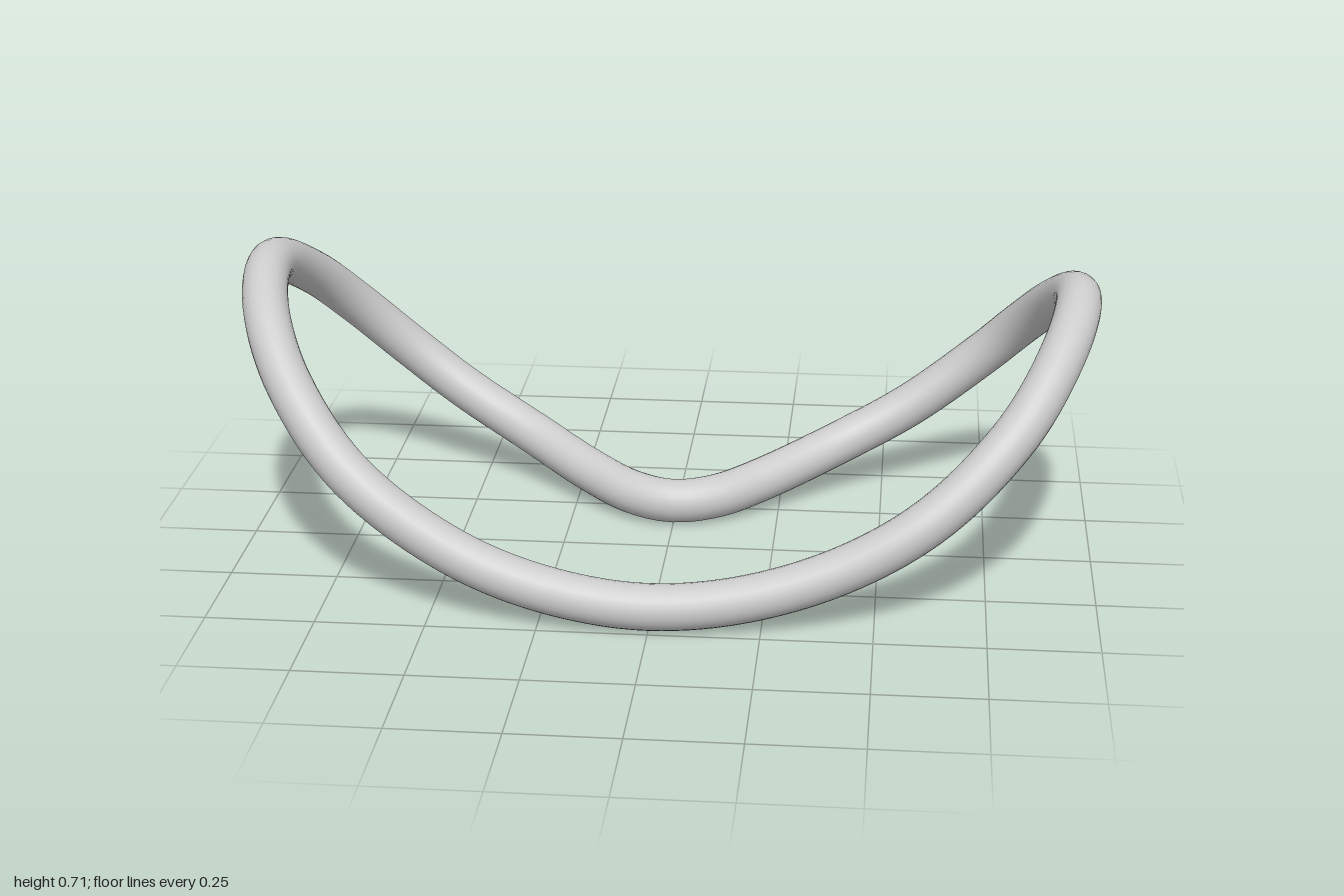
import * as THREE from 'three';

const TUBE_RADIUS = 0.053;
const BEND_RADIUS = 1.055;
const BEND_CENTRE_X = 0.006;

// Flat outline of the loop seen from above, as [x, z]
const outline = [
  [0, -0.155], [-0.10, -0.187], [-0.21, -0.27], [-0.38, -0.40], [-0.56, -0.463],
  [-0.70, -0.472], [-0.815, -0.42], [-0.90, -0.295], [-0.947, -0.09], [-0.92, 0.107],
  [-0.837, 0.26], [-0.675, 0.38], [-0.40, 0.44], [-0.105, 0.465], [0.135, 0.46],
  [0.40, 0.43], [0.62, 0.385], [0.805, 0.27], [0.91, 0.10], [0.944, -0.08],
  [0.905, -0.28], [0.83, -0.41], [0.74, -0.46], [0.565, -0.45], [0.39, -0.395],
  [0.20, -0.26], [0.10, -0.185],
];

// Height of the cylindrical bend at a given x
function bendHeight(x) {
  const dx = x - BEND_CENTRE_X;
  return TUBE_RADIUS + BEND_RADIUS - Math.sqrt(BEND_RADIUS ** 2 - dx ** 2);
}

export function createModel() {
  const group = new THREE.Group();
  group.name = 'bentRim';

  // Closed round tube following the outline, wrapped onto the bend
  const points = outline.map(([x, z]) => new THREE.Vector3(x, bendHeight(x), z));
  const path = new THREE.CatmullRomCurve3(points, true, 'centripetal');
  const rim = new THREE.Mesh(
    new THREE.TubeGeometry(path, 200, TUBE_RADIUS, 24, true),
    new THREE.MeshStandardMaterial({ color: 0xcccccc }),
  );
  rim.name = 'rimTube';
  group.add(rim);
  return group;
}
